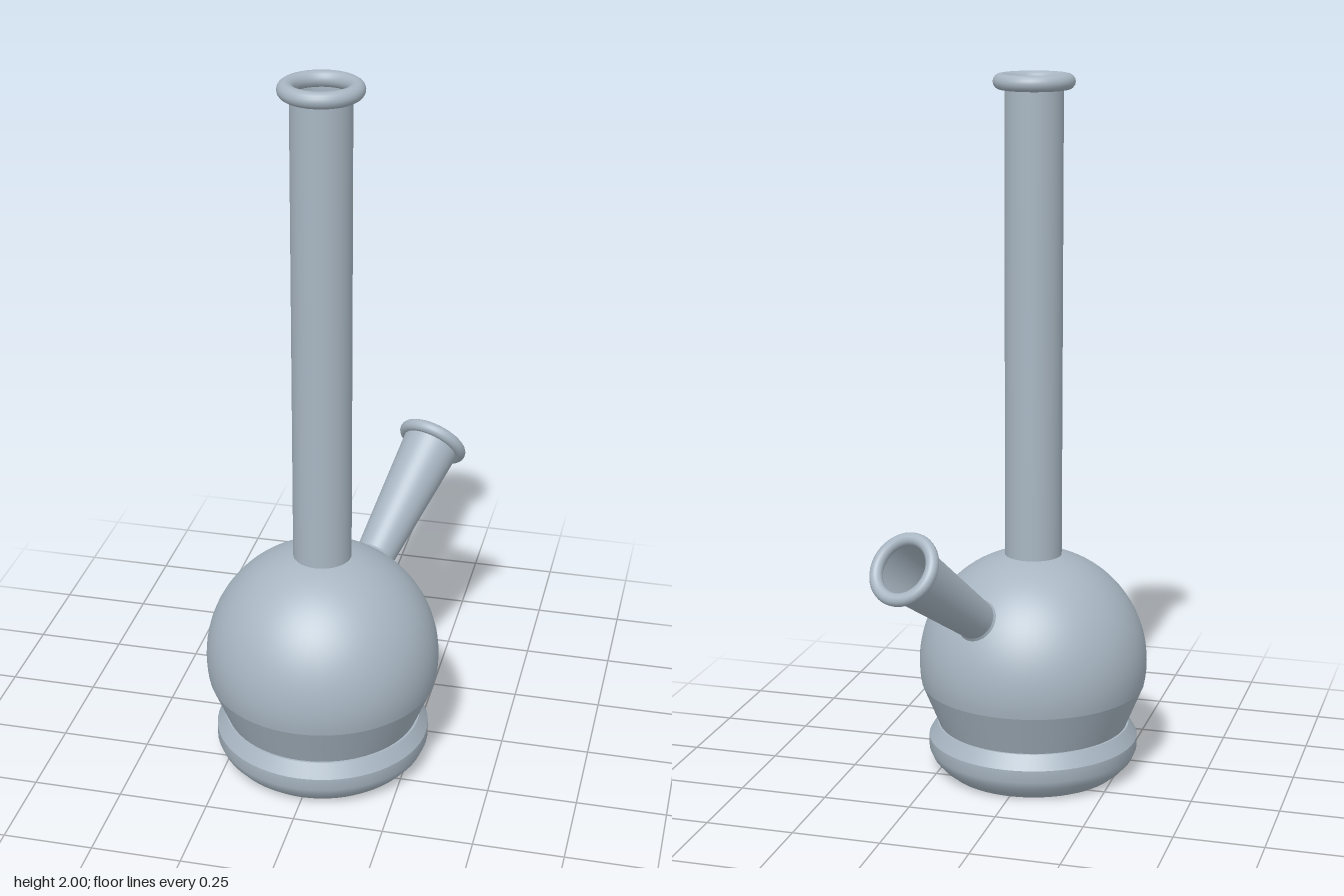
import * as THREE from 'three';

export function createModel() {
  const model = new THREE.Group();
  const glass = new THREE.MeshStandardMaterial({ color: 0xa8b6c2, side: THREE.DoubleSide });
  glass.name = 'blue grey glass';

  const add = (parent, name, geometry, y = 0) => {
    const mesh = new THREE.Mesh(geometry, glass);
    mesh.name = name;
    mesh.position.y = y;
    parent.add(mesh);
    return mesh;
  };
  const lathe = (points, sides = 64) =>
    new THREE.LatheGeometry(points.map(([r, y]) => new THREE.Vector2(r, y)), sides);
  const ring = (radius, thickness) =>
    new THREE.TorusGeometry(radius, thickness, 16, 48).rotateX(Math.PI / 2);

  // Upright vessel, set forward so the side stem reaches the back
  const vessel = new THREE.Group();
  vessel.name = 'vessel';
  vessel.position.z = 0.148;
  model.add(vessel);

  // Round bulb, ending in a straight taper that sits in the foot
  const bulb = [];
  const radius = 0.328, centre = 0.325;
  const start = Math.asin((0.26 - centre) / radius);
  for (let i = 0; i <= 32; i++) {
    const a = start + (Math.PI / 2 - start) * i / 32;
    bulb.push([Math.max(0, radius * Math.cos(a)), centre + radius * Math.sin(a)]);
  }
  add(vessel, 'bulb', lathe(bulb));
  add(vessel, 'bulbTaper', lathe([[0.268, 0.13], [bulb[0][0], 0.26]]));

  // Foot: flat underside, rounded side, sloping shoulder
  add(vessel, 'footUnderside', lathe([[0, 0], [0.25, 0]]));
  add(vessel, 'footSide', lathe([[0.25, 0], [0.272, 0.018], [0.291, 0.04], [0.302, 0.065], [0.302, 0.1]]));
  add(vessel, 'footShoulder', lathe([[0.302, 0.1], [0.278, 0.14]]));
  add(vessel, 'footTop', lathe([[0.278, 0.14], [0.25, 0.14]]));

  // Long open neck with a rolled lip
  add(vessel, 'neck', lathe([[0.081, 0.6], [0.081, 1.978]], 48));
  add(vessel, 'neckLip', ring(0.091, 0.022), 1.978);

  // Flared side stem, leaning back and to the left
  const foot = new THREE.Vector3(0.095, 0.51, -0.095);
  const mouth = new THREE.Vector3(0.203, 0.743, -0.405);
  const length = foot.distanceTo(mouth);
  const stem = new THREE.Group();
  stem.name = 'sideStem';
  stem.position.copy(foot);
  stem.quaternion.setFromUnitVectors(
    new THREE.Vector3(0, 1, 0), mouth.clone().sub(foot).normalize());
  model.add(stem);
  add(stem, 'stemTube', lathe([[0.055, -0.03], [0.056, 0], [0.084, length]], 48));
  add(stem, 'stemLip', ring(0.086, 0.018), length);
  add(stem, 'stemCollar', lathe([[0.076, -0.025], [0.066, -0.008], [0.057, 0.012]], 32));

  return model;
}
